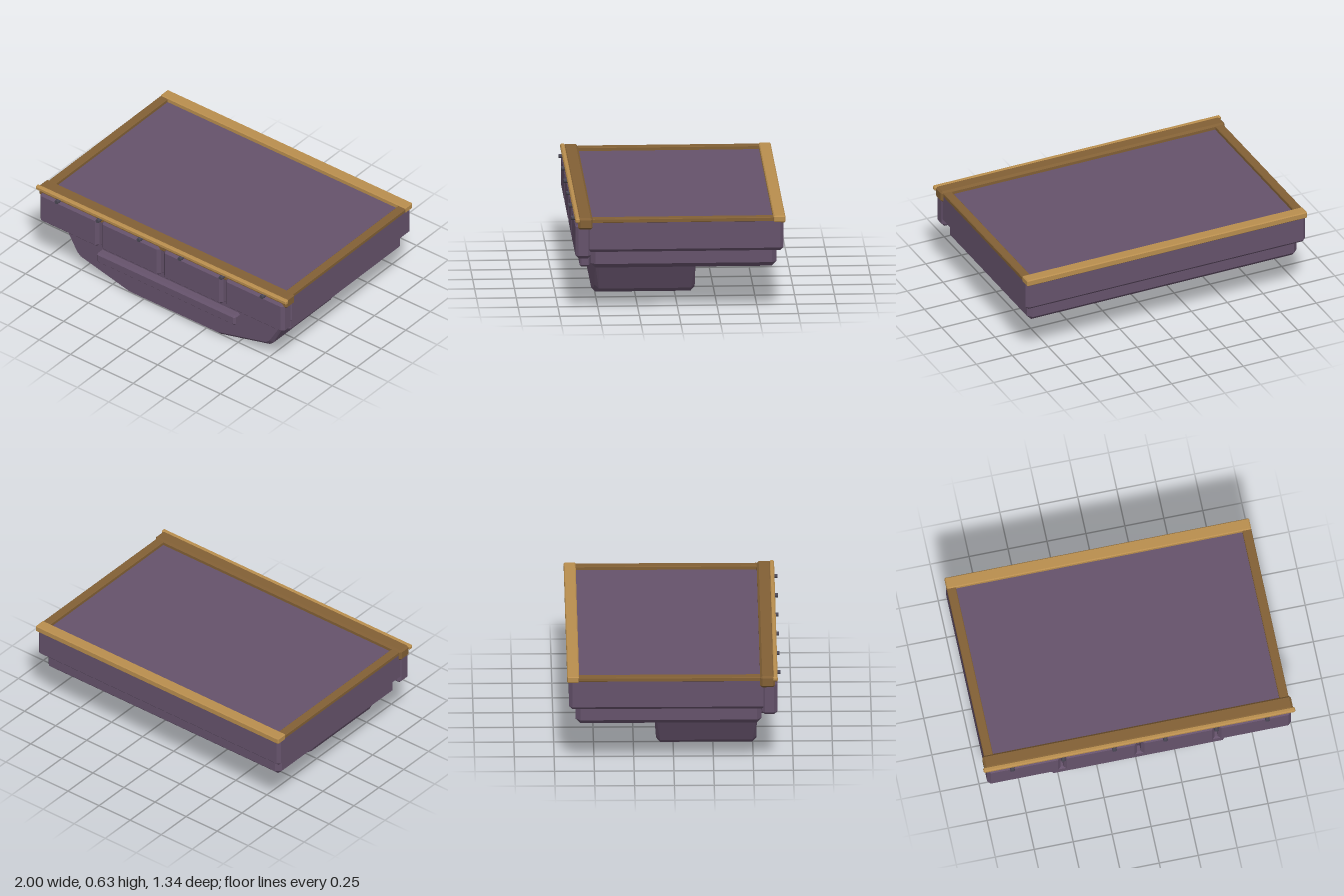
import * as THREE from 'three';
import { ConvexGeometry } from 'three/addons/geometries/ConvexGeometry.js';

const material = (name, color) => {
  const m = new THREE.MeshStandardMaterial({ color });
  m.name = name;
  return m;
};

// Box between two corners with flat chamfers; the top edge may stay square
function chamferBox(x0, x1, y0, y1, z0, z1, c, chamferTop = true) {
  const cx = (x0 + x1) / 2, cz = (z0 + z1) / 2;
  const hx = (x1 - x0) / 2, hz = (z1 - z0) / 2;
  const points = [];
  for (const sx of [-1, 1]) for (const sz of [-1, 1]) {
    const add = (x, y, z) => points.push(new THREE.Vector3(cx + sx * x, y, cz + sz * z));
    for (const y of [y0 + c, chamferTop ? y1 - c : y1]) {
      add(hx - c, y, hz);
      add(hx, y, hz - c);
    }
    add(hx - c, y0, hz - c);
    if (chamferTop) add(hx - c, y1, hz - c);
  }
  return new ConvexGeometry(points);
}

export function createModel() {
  const group = new THREE.Group();
  const purple = material('purple stone', 0x65526b);
  const gold = material('light gold', 0xb98e4e);
  const darkGold = material('dark gold', 0x826035);
  const metal = material('stud metal', 0x4b4856);

  const add = (name, geometry, mat) => {
    const mesh = new THREE.Mesh(geometry, mat);
    mesh.name = name;
    group.add(mesh);
    return mesh;
  };

  // Stepped deck
  add('deckSlab', chamferBox(-0.975, 0.975, 0.405, 0.6, -0.658, 0.58, 0.02, false), purple);
  add('lowerSlab', chamferBox(-0.94, 0.94, 0.293, 0.42, -0.617, 0.552, 0.03, false), purple);

  // Faceted keel with chamfered front and back faces
  const profile = [[0.875, 0.31], [0.78, 0.125], [0.75, 0.1], [0.36, 0.003]];
  const keel = [];
  for (const side of [-1, 1]) for (const [x, y] of profile) {
    const innerX = side * (x - 0.013), innerY = y > 0.3 ? y : y + 0.025;
    for (const z of [-0.085, 0.495]) keel.push(new THREE.Vector3(side * x, y, z));
    for (const z of [-0.11, 0.522]) keel.push(new THREE.Vector3(innerX, innerY, z));
  }
  add('keel', new ConvexGeometry(keel), purple);

  // Four front panels and the bar beneath them
  for (const [x0, x1] of [[-0.975, -0.505], [-0.485, -0.012], [0.012, 0.485], [0.505, 0.975]])
    add('frontPanel', chamferBox(x0, x1, 0.365, 0.59, 0.552, 0.65, 0.02), purple);
  add('frontBar', chamferBox(-0.555, 0.555, 0.21, 0.285, 0.54, 0.604, 0.013), purple);

  // Gold trim around the deck
  add('frontBeam', chamferBox(-0.99, 0.99, 0.556, 0.632, 0.542, 0.634, 0.013), darkGold);
  add('frontLip', chamferBox(-1, 1, 0.602, 0.632, 0.622, 0.652, 0.007), gold);
  add('backRail', chamferBox(-0.977, 0.977, 0.587, 0.63, -0.67, -0.595, 0.006), gold);
  for (const x of [-0.948, 0.948])
    add('sideRail', chamferBox(x - 0.029, x + 0.029, 0.595, 0.623, -0.6, 0.545, 0.004), darkGold);

  // Row of studs along the front
  const stud = new THREE.CylinderGeometry(0.014, 0.014, 0.05, 8).rotateX(Math.PI / 2);
  for (let i = 0; i < 6; i++)
    add('stud', stud, metal).position.set(-0.818 + i * 0.327, 0.595, 0.645);

  return group;
}
